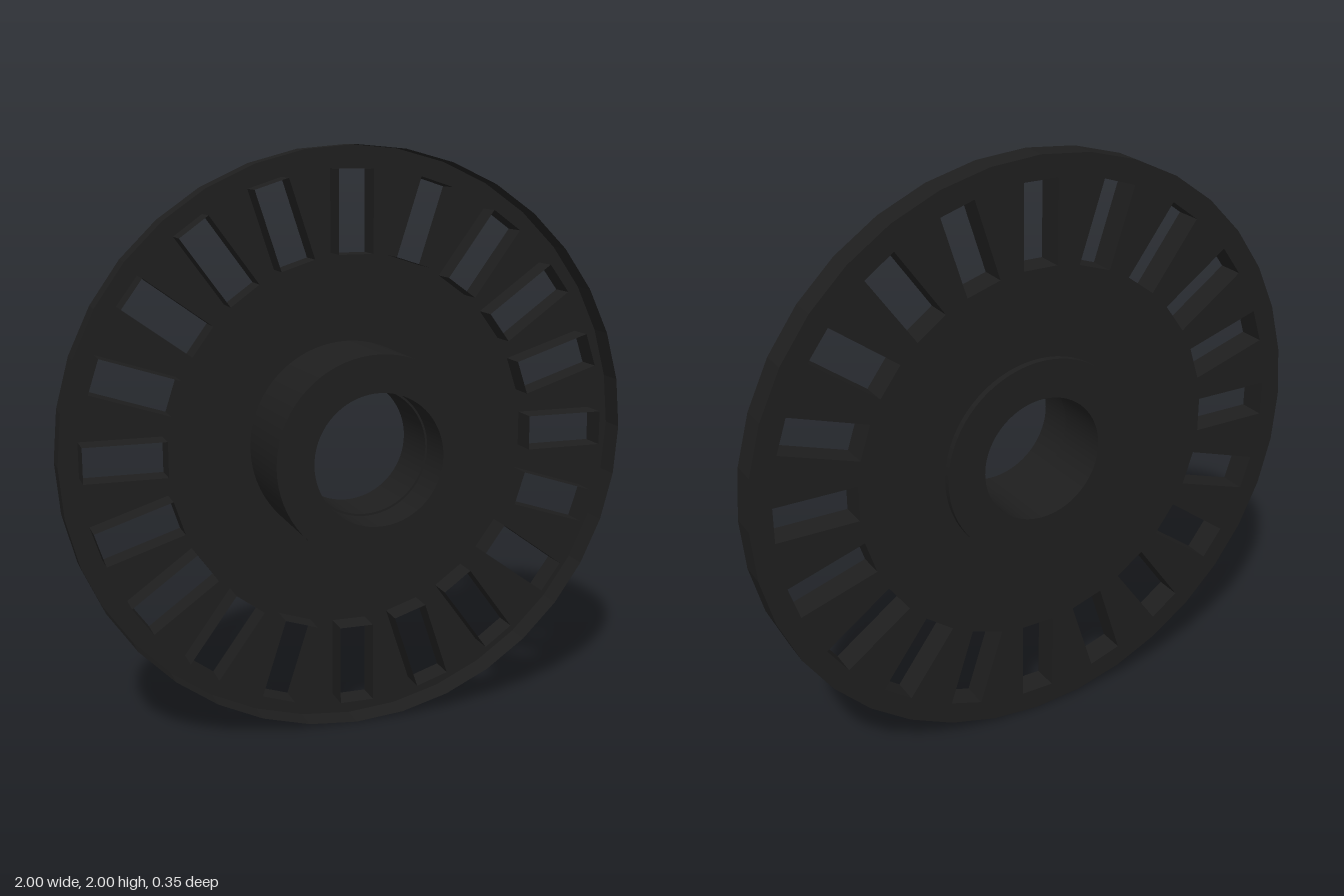
import * as THREE from 'three';
import { toCreasedNormals, mergeGeometries } from 'three/addons/utils/BufferGeometryUtils.js';

const SLOTS = 20, RIM_SIDES = 36, BACK = -0.15, FRONT = -0.058;

// Points of a loop turned about the axle
const turned = (points, a) => points.map(([x, y]) =>
  new THREE.Vector2(x, y).rotateAround(new THREE.Vector2(), a));

// Flat-sided wall standing on a closed loop, from the back plate to the front edge
function wall(loop) {
  const positions = [];
  loop.forEach((p, i) => {
    const q = loop[(i + 1) % loop.length];
    positions.push(p.x, p.y, BACK, q.x, q.y, BACK, q.x, q.y, FRONT);
    positions.push(p.x, p.y, BACK, q.x, q.y, FRONT, p.x, p.y, FRONT);
  });
  const geometry = new THREE.BufferGeometry();
  geometry.setAttribute('position', new THREE.Float32BufferAttribute(positions, 3));
  geometry.computeVertexNormals();
  return geometry;
}

export function createModel() {
  const group = new THREE.Group();
  const black = new THREE.MeshStandardMaterial({ color: 0x1e1e1e, side: THREE.DoubleSide });
  black.name = 'matte black';

  const add = (name, geometry) => {
    const mesh = new THREE.Mesh(geometry, black);
    mesh.name = name;
    mesh.position.y = 1;
    group.add(mesh);
  };

  // Loops of the 36-sided rim and the radial windows (clockwise, as holes)
  const rim = [];
  for (let i = 0; i < RIM_SIDES; i++) rim.push(...turned([[1, 0]], (i / RIM_SIDES) * Math.PI * 2));
  const window = [[0.645, -0.06], [0.645, 0.06], [0.922, 0.06], [0.922, -0.06]];
  const slots = [];
  for (let i = 0; i < SLOTS; i++) slots.push(turned(window, (i / SLOTS) * Math.PI * 2));

  // Back plate of the disc, which is open towards the front
  const plate = new THREE.Shape(rim);
  plate.holes = slots.map((loop) => new THREE.Path(loop));
  plate.holes.push(new THREE.Path().absarc(0, 0, 0.34, 0, Math.PI * 2, true));
  const plateGeometry = new THREE.ShapeGeometry(plate, 36);
  plateGeometry.rotateY(Math.PI).translate(0, 0, BACK);
  add('backPlate', plateGeometry);

  // Thin walls rising from the plate
  add('rimWall', wall(rim));
  add('slotWalls', mergeGeometries(slots.map(wall)));

  // Hub: a collar through the disc, its bore slightly wider at the front
  const profile = [
    [0.347, -0.173], [0.347, 0.173], [0.222, 0.173], [0.222, 0.03],
    [0.215, 0.03], [0.215, -0.173], [0.347, -0.173],
  ].map(([r, z]) => new THREE.Vector2(r, z));
  const hubGeometry = toCreasedNormals(new THREE.LatheGeometry(profile, 72), 0.6);
  hubGeometry.rotateX(Math.PI / 2);
  add('hub', hubGeometry);

  return group;
}
